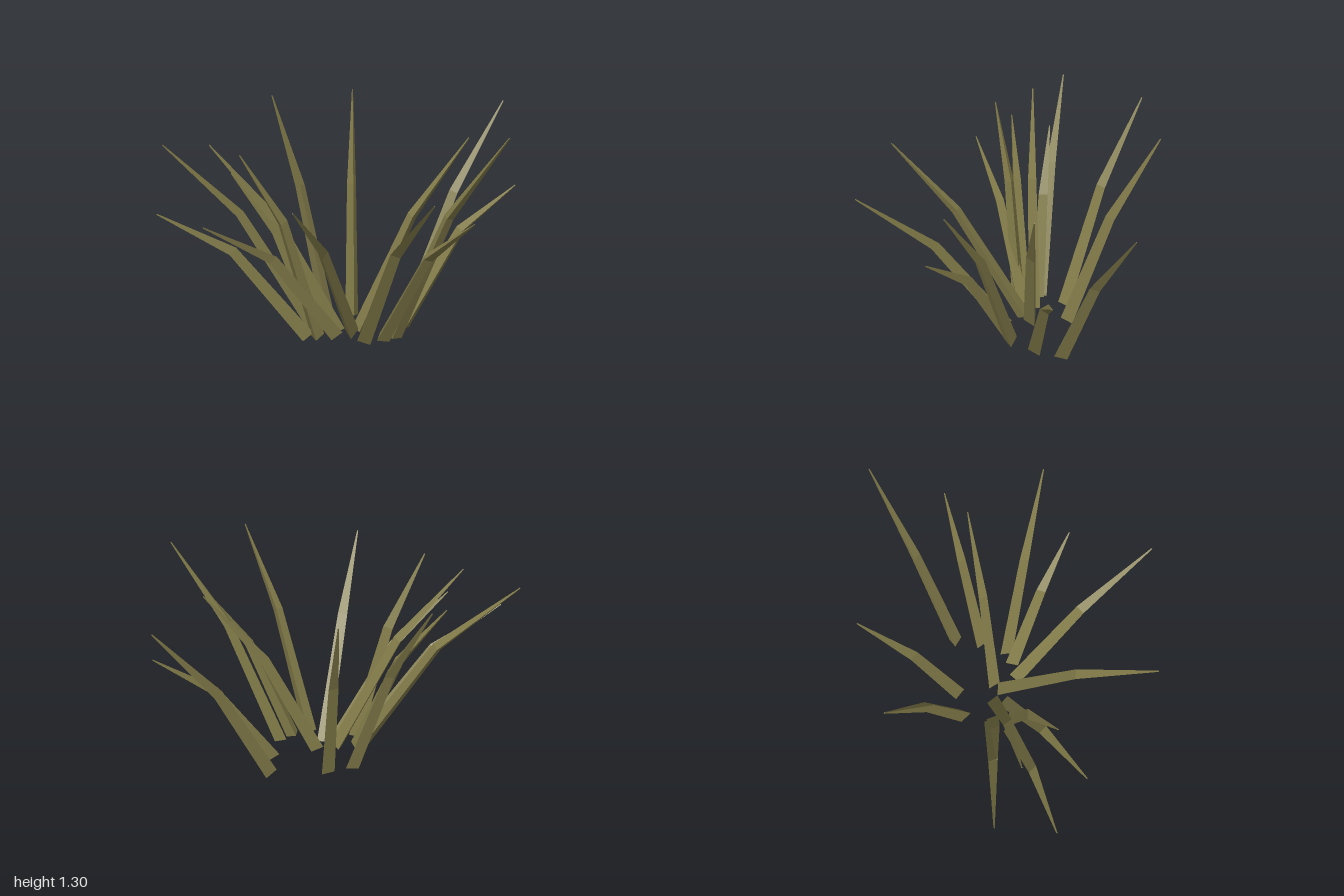
import * as THREE from 'three';

// Each blade: base, bend and tip points, then the turn (degrees) of its three-sided section
const BLADES = [
  [[0.0, 0.02, -0.32], [0.05, 0.73, -0.65], [0.11, 1.24, -1.0], -106],
  [[0.09, 0.02, -0.195], [0.25, 0.58, -0.49], [0.42, 0.83, -0.76], -85],
  [[-0.05, 0.02, 0.035], [0.13, 0.7, -0.21], [0.31, 1.14, -0.47], -78],
  [[0.16, 0.02, -0.045], [0.44, 0.77, -0.17], [0.735, 1.245, -0.305], -56],
  [[0.135, 0.02, 0.03], [0.43, 0.57, -0.02], [0.715, 0.82, -0.07], -37],
  [[0.08, 0.02, 0.115], [0.46, 0.67, 0.25], [0.85, 1.05, 0.385], -7],
  [[-0.045, 0.02, 0.1], [0.155, 0.65, 0.49], [0.35, 1.0, 0.85], 50],
  [[-0.09, 0.02, 0.18], [-0.19, 0.55, 0.55], [-0.29, 0.79, 0.925], 90],
  [[-0.14, 0.02, 0.28], [-0.21, 0.73, 0.46], [-0.275, 1.14, 0.685], 50],
  [[-0.19, 0.02, 0.31], [-0.4, 0.57, 0.66], [-0.615, 0.805, 0.995], 90],
  [[-0.22, 0.02, 0.2], [-0.38, 0.62, 0.36], [-0.56, 0.955, 0.53], 117],
  [[-0.13, 0.02, 0.125], [-0.33, 0.72, 0.41], [-0.545, 1.145, 0.68], 100],
  [[-0.24, 0.02, 0.2], [-0.54, 0.72, 0.49], [-0.855, 1.105, 0.775], 117],
  [[-0.315, 0.02, 0.04], [-0.56, 0.78, 0.03], [-0.82, 1.28, 0.015], 157],
  [[-0.235, 0.02, -0.085], [-0.4, 0.77, -0.24], [-0.575, 1.29, -0.41], -90],
];
const RADII = [0.045, 0.032, 0.004];
const UP = new THREE.Vector3(0, 1, 0);

// Three triangular sections joined into a bent, tapering blade with flat faces
function bladeGeometry(points, turn) {
  const path = points.map((p) => new THREE.Vector3(...p));
  const low = path[1].clone().sub(path[0]).normalize();
  const high = path[2].clone().sub(path[1]).normalize();
  const directions = [low, low.clone().add(high).normalize(), high];
  const rings = path.map((centre, k) => {
    const tilt = new THREE.Quaternion().setFromUnitVectors(UP, directions[k]);
    return [0, 1, 2].map((i) => {
      const a = THREE.MathUtils.degToRad(turn + i * 120);
      return new THREE.Vector3(Math.cos(a), 0, Math.sin(a))
        .multiplyScalar(RADII[k]).applyQuaternion(tilt).add(centre);
    });
  });

  const corners = [...rings[0], ...rings[2].slice().reverse()]; // end caps
  for (let k = 0; k < 2; k++) {
    for (let i = 0; i < 3; i++) {
      const j = (i + 1) % 3;
      const a = rings[k][i], b = rings[k][j], c = rings[k + 1][i], d = rings[k + 1][j];
      corners.push(a, c, b, b, c, d);
    }
  }
  const geometry = new THREE.BufferGeometry().setFromPoints(corners);
  geometry.computeVertexNormals();
  return geometry;
}

export function createModel() {
  const group = new THREE.Group();
  group.name = 'grassTuft';
  const olive = new THREE.MeshStandardMaterial({ color: 0x827b49 });
  olive.name = 'dryOlive';
  BLADES.forEach(([base, bend, tip, turn], i) => {
    const blade = new THREE.Mesh(bladeGeometry([base, bend, tip], turn), olive);
    blade.name = `grassBlade${i + 1}`;
    group.add(blade);
  });
  return group;
}
